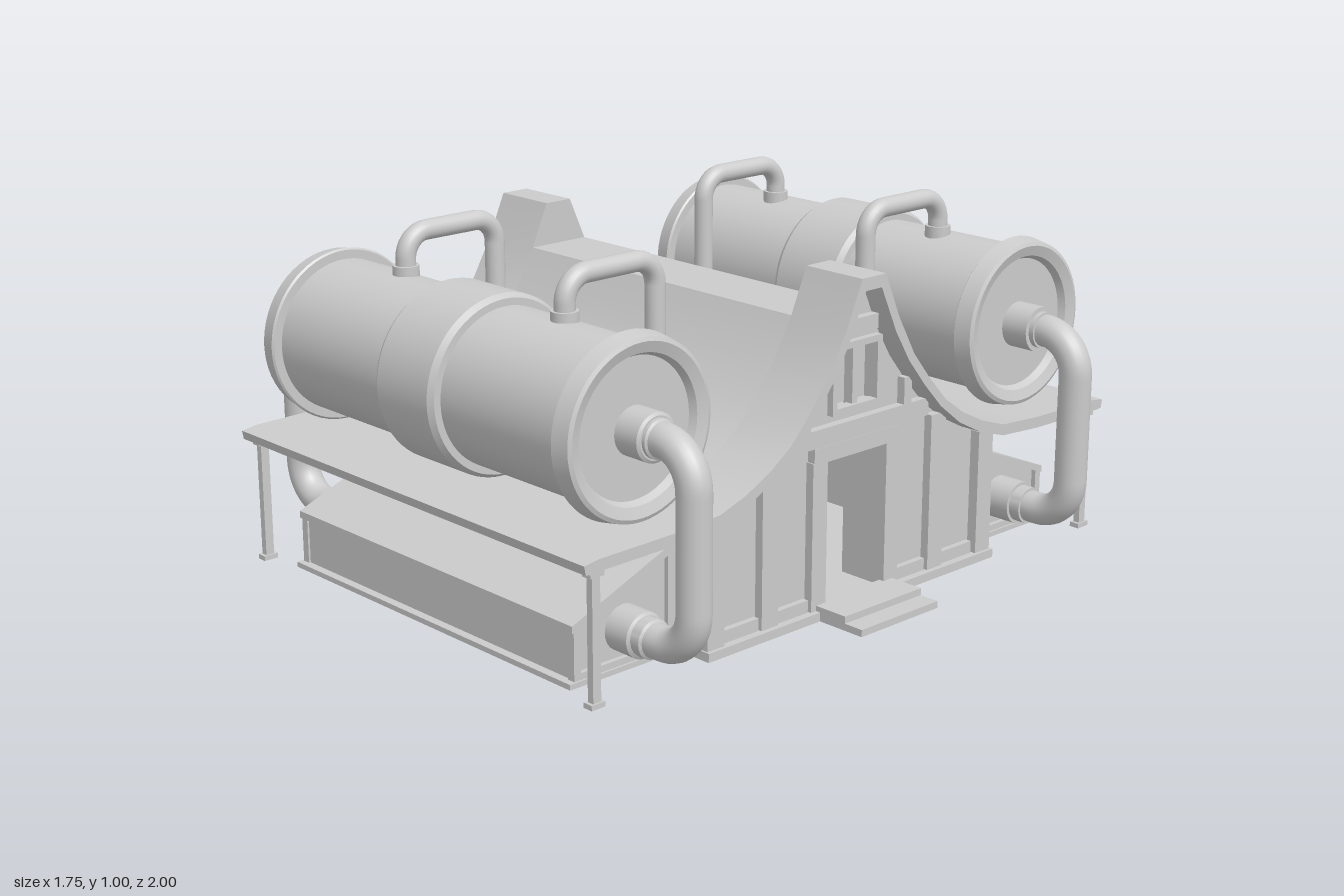
import * as THREE from 'three';
import { toCreasedNormals } from 'three/addons/utils/BufferGeometryUtils.js';

const mat = new THREE.MeshStandardMaterial({ color: 0xcccccc, side: THREE.DoubleSide });
const sides = [-1, 1];

function add(parent, name, geo) {
  const mesh = new THREE.Mesh(geo, mat);
  mesh.name = name;
  parent.add(mesh);
  return mesh;
}

// Box given by its centre and size
function box(parent, name, x, y, z, w, h, d) {
  const mesh = add(parent, name, new THREE.BoxGeometry(w, h, d));
  mesh.position.set(x, y, z);
  return mesh;
}

const toShape = pts => new THREE.Shape(pts.map(p => new THREE.Vector2(...p)));

// Outline in (z, y) extruded from x0 to x1
function extrudeX(shape, x0, x1, crease = 0.5) {
  const geo = new THREE.ExtrudeGeometry(shape, { depth: x1 - x0, bevelEnabled: false });
  geo.rotateY(-Math.PI / 2).translate(x1, 0, 0);
  return toCreasedNormals(geo, crease);
}

// Half outline (z > 0) mirrored into a full open outline
const mirror = half => [...half, ...half.map(([z, y]) => [-z, y]).reverse()];

// Surface of revolution around x, profile as [x, radius]
function latheX(profile, segments = 48) {
  const geo = new THREE.LatheGeometry(profile.map(([x, r]) => new THREE.Vector2(r, x)), segments);
  return toCreasedNormals(geo.rotateZ(-Math.PI / 2), 0.5);
}

// Tube through corners, rounded with the given bend radius
function bentPipe(corners, radius, bend) {
  const pts = corners.map(p => new THREE.Vector3(...p));
  const path = new THREE.CurvePath();
  let from = pts[0];
  for (let i = 1; i < pts.length - 1; i++) {
    const c = pts[i];
    const a = c.clone().add(pts[i - 1].clone().sub(c).setLength(bend));
    const b = c.clone().add(pts[i + 1].clone().sub(c).setLength(bend));
    const k = 0.552;
    path.add(new THREE.LineCurve3(from, a));
    path.add(new THREE.CubicBezierCurve3(a, a.clone().lerp(c, k), b.clone().lerp(c, k), b));
    from = b;
  }
  path.add(new THREE.LineCurve3(from, pts[pts.length - 1]));
  return new THREE.TubeGeometry(path, 72, radius, 20);
}

const roofOuter = [[1, 0.385], [0.95, 0.392], [0.7, 0.395], [0.55, 0.405], [0.46, 0.435], [0.374, 0.478],
  [0.3, 0.53], [0.23, 0.605], [0.165, 0.685], [0.1, 0.8]];
const roofInner = [[0.995, 0.36], [0.7, 0.363], [0.55, 0.373], [0.45, 0.405], [0.36, 0.452],
  [0.28, 0.515], [0.21, 0.59], [0.145, 0.67], [0.09, 0.76]];

function buildRoof() {
  const g = new THREE.Group();
  g.name = 'roof';
  const shell = (outerTop, innerTop) => toShape([
    ...mirror([...roofOuter, ...outerTop]),
    ...mirror([...roofInner, ...innerTop]).reverse()]);
  add(g, 'roofMiddle', extrudeX(shell([], []), -0.53, 0.53));
  // Raised gable peaks at both ends
  for (const s of sides) {
    const [x0, x1] = s > 0 ? [0.53, 0.73] : [-0.73, -0.53];
    add(g, 'roofPeak', extrudeX(shell([[0.045, 0.925]], [[0.03, 0.89]]), x0, x1));
  }
  return g;
}

function buildGable() {
  const g = new THREE.Group();
  g.name = 'gableWall';
  // Wall with a doorway and a window recess
  const wall = toShape(mirror([[0.115, 0.02], [0.115, 0.435]]).reverse()
    .concat([[0.115, 0.02], [0.54, 0.02], [0.54, 0.38], [0.45, 0.41], [0.36, 0.457], [0.28, 0.52], [0.21, 0.595],
      [0.145, 0.675], [0.09, 0.765], [0.03, 0.895]].slice(1))
    .concat([[-0.03, 0.895], [-0.09, 0.765], [-0.145, 0.675], [-0.21, 0.595], [-0.28, 0.52], [-0.36, 0.457],
      [-0.45, 0.41], [-0.54, 0.38], [-0.54, 0.02]]));
  wall.holes.push(new THREE.Path([[-0.08, 0.565], [-0.08, 0.73], [0.08, 0.73], [0.08, 0.565]]
    .map(p => new THREE.Vector2(...p))));
  add(g, 'wall', extrudeX(wall, 0.53, 0.66));
  box(g, 'windowPane', 0.62, 0.647, 0, 0.02, 0.17, 0.17);
  box(g, 'windowMullion', 0.655, 0.647, 0, 0.03, 0.17, 0.02);
  for (const y of [0.56, 0.735]) box(g, 'windowRail', 0.665, y, 0, 0.03, 0.018, 0.18);
  // Timber framing
  box(g, 'crossBeam', 0.67, 0.505, 0, 0.03, 0.05, 0.56);
  box(g, 'collarBeam', 0.67, 0.785, 0, 0.03, 0.04, 0.14);
  box(g, 'doorLintel', 0.67, 0.457, 0, 0.03, 0.045, 0.33);
  for (const s of sides) {
    box(g, 'cornerPost', 0.67, 0.2, s * 0.522, 0.04, 0.37, 0.055);
    box(g, 'middlePost', 0.67, 0.245, s * 0.325, 0.03, 0.46, 0.06);
    box(g, 'doorPost', 0.67, 0.23, s * 0.142, 0.03, 0.42, 0.055);
    box(g, 'windowPost', 0.665, 0.647, s * 0.085, 0.03, 0.19, 0.018);
    box(g, 'upperPost', 0.67, 0.56, s * 0.195, 0.03, 0.09, 0.03);
    for (const [z, w] of [[0.424, 0.13], [0.232, 0.115]])
      box(g, 'bottomRail', 0.665, 0.04, s * z, 0.025, 0.04, w);
  }
  // Doorstep
  box(g, 'lowerStep', 0.76, 0.01, 0, 0.18, 0.02, 0.3);
  box(g, 'upperStep', 0.73, 0.03, 0, 0.12, 0.02, 0.3);
  return g;
}

function buildTank() {
  const g = new THREE.Group();
  g.name = 'tank';
  // Half profile from the recessed end disc to the middle band
  const half = [[-0.615, 0], [-0.615, 0.185], [-0.635, 0.195], [-0.645, 0.225], [-0.64, 0.236], [-0.59, 0.245],
    [-0.585, 0.24], [-0.585, 0.215], [-0.122, 0.215], [-0.122, 0.235], [-0.105, 0.246]];
  const profile = [...half, ...half.map(([x, r]) => [-x, r]).reverse()];
  add(g, 'tankBody', latheX(profile, 64)).position.set(0, 0.645, 0.735);

  for (const s of sides) {
    // Side pipe from tank end down to the trough
    add(g, 'sidePipe', bentPipe([[s * 0.6, 0.64, 0.735], [s * 0.83, 0.64, 0.735],
      [s * 0.83, 0.11, 0.735], [s * 0.56, 0.11, 0.735]], 0.046, 0.11));
    const collar = r => latheX([[-0.045, 0], [-0.045, r], [0.04, r], [0.045, r - 0.008], [0.045, 0]], 32);
    add(g, 'upperCollar', collar(0.065)).position.set(s * 0.655, 0.64, 0.735);
    add(g, 'upperNut', collar(0.052)).position.set(s * 0.67, 0.64, 0.735);
    add(g, 'lowerCollar', collar(0.062)).position.set(s * 0.61, 0.11, 0.735);
    add(g, 'lowerNut', collar(0.053)).position.set(s * 0.645, 0.11, 0.735);
    // Vent pipe from tank top into the roof
    add(g, 'ventPipe', bentPipe([[s * 0.33, 0.84, 0.71], [s * 0.33, 0.972, 0.71],
      [s * 0.33, 0.972, 0.402], [s * 0.33, 0.45, 0.402]], 0.028, 0.07));
    const tankRing = add(g, 'ventTankCollar', new THREE.CylinderGeometry(0.037, 0.037, 0.04, 24));
    tankRing.position.set(s * 0.33, 0.865, 0.71);
    const roofRing = add(g, 'ventRoofCollar', new THREE.CylinderGeometry(0.042, 0.042, 0.05, 24));
    roofRing.position.set(s * 0.33, 0.478, 0.4);
    roofRing.rotation.x = 0.48;
  }
  return g;
}

function buildTrough() {
  const g = new THREE.Group();
  g.name = 'trough';
  box(g, 'troughPlate', 0, 0.0075, 0.74, 1.18, 0.015, 0.38);
  add(g, 'troughBody', extrudeX(toShape([[0.55, 0.01], [0.905, 0.01], [0.905, 0.15], [0.575, 0.28], [0.55, 0.28]]),
    -0.57, 0.57));
  // Sloped lid and raised end frames
  const lid = toShape([[0.917, 0.145], [0.917, 0.165], [0.57, 0.303], [0.57, 0.278]]);
  add(g, 'troughLid', extrudeX(lid, -0.585, 0.585));
  for (const s of sides) {
    box(g, 'endFrame', s * 0.572, 0.085, 0.9, 0.024, 0.14, 0.022);
    box(g, 'endFrame', s * 0.572, 0.14, 0.582, 0.024, 0.27, 0.022);
    box(g, 'endSill', s * 0.572, 0.022, 0.74, 0.024, 0.022, 0.33);
  }
  return g;
}

// Long wall with uprights, and the posts holding the eave
function buildLongSide() {
  const g = new THREE.Group();
  g.name = 'longSide';
  box(g, 'longWall', 0, 0.195, 0.525, 1.3, 0.36, 0.03);
  for (const x of [-0.655, -0.495, -0.11, 0.11, 0.495, 0.655])
    box(g, 'wallUpright', x, 0.195, 0.54, 0.07, 0.36, 0.03);
  for (const s of sides) {
    box(g, 'eavePost', s * 0.705, 0.185, 0.95, 0.02, 0.36, 0.026);
    box(g, 'eavePostFoot', s * 0.705, 0.007, 0.95, 0.03, 0.014, 0.045);
    box(g, 'eavePostHead', s * 0.705, 0.352, 0.95, 0.03, 0.02, 0.045);
  }
  box(g, 'eaveBeam', 0, 0.366, 0.965, 1.46, 0.015, 0.04);
  return g;
}

export function createModel() {
  const model = new THREE.Group();
  model.name = 'tankHouse';
  box(model, 'floor', 0, 0.0125, 0, 1.4, 0.025, 1.12);
  model.add(buildRoof());
  // Half-turn copies complete the opposite ends and sides
  for (const turn of [0, Math.PI])
    for (const part of [buildGable(), buildTank(), buildTrough(), buildLongSide()]) {
      part.rotation.y = turn;
      model.add(part);
    }
  return model;
}
